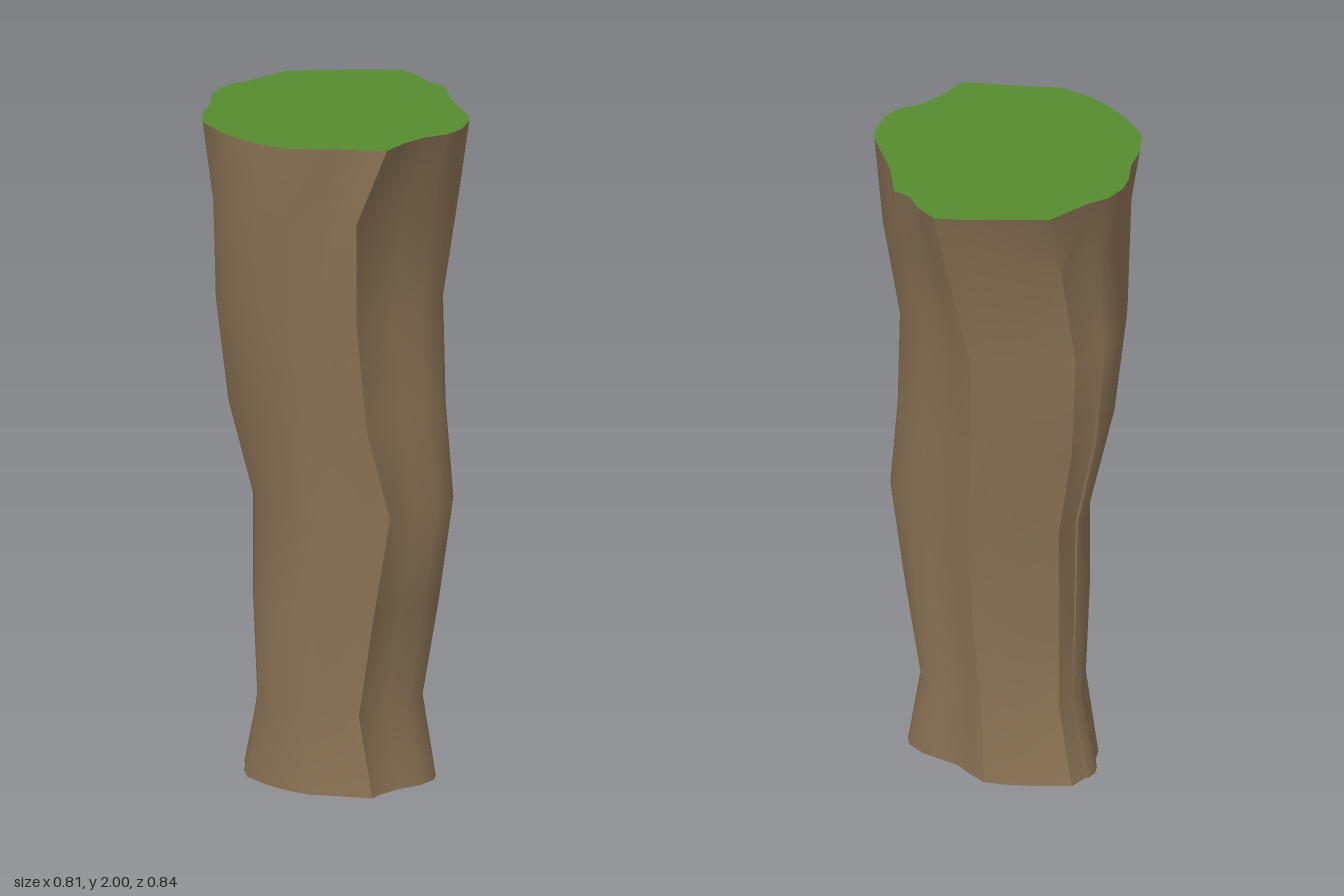
import * as THREE from 'three';
import { toCreasedNormals } from 'three/addons/utils/BufferGeometryUtils.js';

// Outline of the top rim as [x, z], running back -> +x -> front -> -x
const RIM = [
  [-0.11, -0.42], [-0.03, -0.405], [0.025, -0.375], [0.085, -0.378], [0.185, -0.287],
  [0.335, -0.19], [0.365, -0.155], [0.402, -0.075], [0.402, -0.01], [0.373, 0.055],
  [0.365, 0.145], [0.375, 0.23], [0.3, 0.283], [0.25, 0.315], [0.14, 0.4],
  [0.04, 0.417], [-0.03, 0.413], [-0.1, 0.4], [-0.22, 0.353], [-0.285, 0.275],
  [-0.32, 0.2], [-0.37, 0.135], [-0.397, 0.08], [-0.404, 0.01], [-0.383, -0.05],
  [-0.365, -0.2], [-0.25, -0.307], [-0.185, -0.365],
];
const RIDGE = 11; // rim point that carries the sharp front ridge

// Shift [x, z] of single rim points below the flare, squaring the back left corner
const DRIFT = {
  2: [0.03, 0], 3: [0.05, -0.007], 4: [0.035, -0.062], 5: [-0.005, -0.1], 6: [0, -0.097],
  7: [-0.003, -0.102], 8: [0.002, -0.07], 9: [0, -0.03],
  24: [-0.01, 0.03], 25: [-0.025, 0.042], 26: [-0.02, 0.02],
};

// Levels: y, min x, max x, min z, max z, ridge shift in z
const LEVELS = [
  [0, -0.28, 0.289, -0.165, 0.267, 0],
  [0.24, -0.22, 0.237, -0.155, 0.256, 0.01],
  [0.54, -0.235, 0.294, -0.18, 0.277, 0],
  [0.85, -0.257, 0.335, -0.202, 0.265, -0.015],
  [1.13, -0.317, 0.303, -0.237, 0.325, 0.012],
  [1.45, -0.341, 0.29, -0.263, 0.367, 0.015],
  [1.77, -0.331, 0.322, -0.343, 0.408, 0.04],
  [2, -0.404, 0.402, -0.42, 0.417, 0],
];

// Fit the rim outline into the bounds of one level
function ring([y, x0, x1, z0, z1, shift]) {
  const drift = Math.min(1, (2 - y) / 0.24);
  return RIM.map(([x, z], i) => {
    const near = Math.exp(-((i - RIDGE) ** 2));
    const [dx, dz] = DRIFT[i] ?? [0, 0];
    return [
      x0 + ((x + 0.404) / 0.806) * (x1 - x0) + dx * drift,
      y,
      z0 + ((z + 0.42) / 0.837) * (z1 - z0) + dz * drift + shift * near,
    ];
  });
}

export function createModel() {
  const earth = new THREE.MeshStandardMaterial({ color: 0x8b7355, side: THREE.DoubleSide });
  earth.name = 'earth brown';
  const grass = new THREE.MeshStandardMaterial({ color: 0x558b2f, side: THREE.DoubleSide });
  grass.name = 'grass green';

  // Fluted wall, open at the bottom
  const n = RIM.length;
  const index = [];
  for (let j = 0; j < LEVELS.length - 1; j++) {
    for (let i = 0; i < n; i++) {
      const a = j * n + i;
      const b = j * n + ((i + 1) % n);
      index.push(b, a, a + n, b, a + n, b + n);
    }
  }
  const wallGeometry = new THREE.BufferGeometry();
  wallGeometry.setAttribute('position', new THREE.Float32BufferAttribute(LEVELS.flatMap(ring).flat(), 3));
  wallGeometry.setIndex(index);
  const wall = new THREE.Mesh(toCreasedNormals(wallGeometry, THREE.MathUtils.degToRad(36)), earth);
  wall.name = 'rockWall';

  // Flat grassy top
  const outline = new THREE.Shape(RIM.map(([x, z]) => new THREE.Vector2(x, -z)));
  const top = new THREE.Mesh(new THREE.ShapeGeometry(outline).rotateX(-Math.PI / 2), grass);
  top.position.y = 2;
  top.name = 'grassTop';

  const group = new THREE.Group();
  group.name = 'rockPillar';
  group.add(wall, top);
  return group;
}
